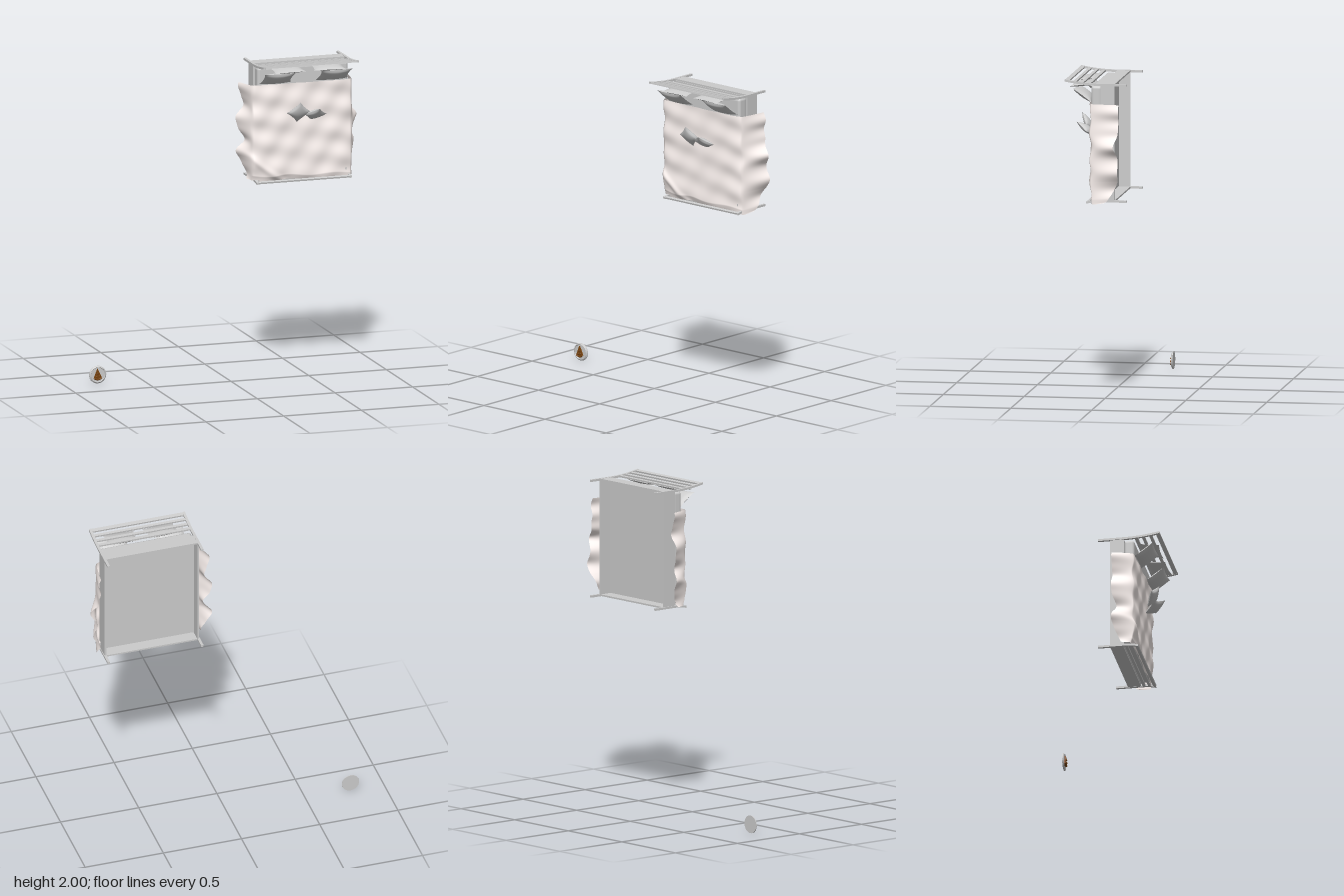
import * as THREE from 'three';
import { ParametricGeometry } from 'three/addons/geometries/ParametricGeometry.js';
import { RoundedBoxGeometry } from 'three/addons/geometries/RoundedBoxGeometry.js';

const grey = new THREE.MeshStandardMaterial({ color: 0xcccccc, side: THREE.DoubleSide });
const linen = new THREE.MeshStandardMaterial({ color: 0xfff6f3, side: THREE.DoubleSide });
const brown = new THREE.MeshStandardMaterial({ color: 0x7a4510 });

const MID = 0.447; // centre line of the bed

function add(parent, name, geo, mat = grey, x = 0, y = 0, z = 0) {
  const m = new THREE.Mesh(geo, mat);
  m.name = name;
  m.position.set(x, y, z);
  parent.add(m);
  return m;
}

// Box given by its minimum and maximum on each axis
function span(parent, name, x0, x1, y0, y1, z0, z1) {
  return add(parent, name, new THREE.BoxGeometry(x1 - x0, y1 - y0, z1 - z0), grey,
    (x0 + x1) / 2, (y0 + y1) / 2, (z0 + z1) / 2);
}

// Bed end: two curved posts, a solid lower panel and open slats
function bedEnd(name, y0, bend, zTop, slats) {
  const g = new THREE.Group();
  g.name = name;
  const yAt = z => y0 + bend * Math.pow(Math.max(0, z) / zTop, 1.8);
  const pts = [];
  for (let i = 0; i <= 14; i++) {
    const z = -0.175 + (zTop + 0.175) * i / 14;
    pts.push(new THREE.Vector2(z, yAt(z)));
  }
  const outline = [
    ...pts.map(p => new THREE.Vector2(p.x, p.y - 0.0065)),
    ...pts.slice().reverse().map(p => new THREE.Vector2(p.x, p.y + 0.0065)),
  ];
  const post = new THREE.ExtrudeGeometry(new THREE.Shape(outline), { depth: 0.016, bevelEnabled: false });
  post.rotateY(-Math.PI / 2);
  add(g, 'post', post, grey, 0.156);
  add(g, 'post', post, grey, 0.754);
  span(g, 'panel', 0.15, 0.745, y0 - 0.005, y0 + 0.005, -0.1, -0.02);
  for (const [z0, z1] of slats) {
    const y = yAt((z0 + z1) / 2);
    const s = span(g, 'slat', 0.15, 0.745, y - 0.005, y + 0.005, z0, z1);
    s.rotation.x = -Math.atan2(yAt(z1) - yAt(z0), z1 - z0);
  }
  return g;
}

// Puffed cushion with pinched corners
function cushion(parent, name, w, h, t, x, y, z, lean, spin = 0) {
  const geo = new THREE.BoxGeometry(2, 2, 2, 14, 14, 1);
  const p = geo.attributes.position;
  for (let i = 0; i < p.count; i++) {
    const u = p.getX(i), v = p.getY(i);
    const puff = Math.sqrt(Math.max(0, (1 - u * u) * (1 - v * v)));
    p.setXYZ(i, u * w / 2 * (1 - 0.1 * (1 - v * v)), v * h / 2 * (1 - 0.1 * (1 - u * u)),
      Math.sign(p.getZ(i)) * t / 2 * puff);
  }
  geo.rotateZ(spin);
  geo.computeVertexNormals();
  add(parent, name, geo, grey, x, y, z).rotation.x = lean;
}

const bump = (y, c, w) => Math.exp(-(((y - c) / w) ** 2));

// Draped sheet: flat on top, side flaps flaring out in waves
function blanketGeometry() {
  const edge = 0.66;
  return new ParametricGeometry((u, v, out) => {
    const s = u * 2 - 1, a = Math.abs(s), left = s < 0;
    let y = 1.252 + v * 0.6;
    const flare = left
      ? 0.012 + 0.055 * bump(y, 1.61, 0.07) + 0.052 * bump(y, 1.41, 0.055) + 0.04 * bump(y, 1.82, 0.05)
      : 0.022 + 0.055 * bump(y, 1.59, 0.07) + 0.055 * bump(y, 1.44, 0.045) + 0.01 * bump(y, 1.8, 0.06);
    const foot = Math.min(1, (y - 1.25) / 0.14);
    const drop = (left ? 0.125 : 0.175) * (0.35 + 0.65 * Math.sqrt(foot))
      - 0.025 * bump(y, left ? 1.5 : 1.6, 0.05);
    const k = Math.max(0, (a - edge) / (1 - edge));
    const q = Math.min(1, a / edge);
    let x = 0.44 + Math.sign(s) * 0.32 * q + Math.sign(s) * flare * Math.pow(k, 0.8);
    // Soft wrinkles, strongest along the sides and the lower corner
    const wrinkle = 0.005 * Math.sin(y * 42 + x * 9) * (0.35 + 0.65 * q)
      + 0.003 * Math.sin(x * 34 - y * 25);
    const fold = 0.008 * bump(y - 1.25 + (x - 0.12) * 0.75, 0.14, 0.025) * (x < 0.35 ? 1 : 0.3);
    let z = 0.058 - 0.012 * Math.pow(q, 10) + (wrinkle + fold) * (1 - k) - drop * k;
    z -= 0.012 * Math.max(0, 1 - v / 0.05);
    x += 0.006 * Math.sin(y * 60) * k;
    y += 0.006 * Math.sin(x * 22) * (1 - v) - 0.012 * (1 - v) * (s + 0.5) * (1 - k);
    out.set(x, y, z);
  }, 72, 72);
}

function createModel() {
  const model = new THREE.Group();
  const bed = new THREE.Group();
  bed.name = 'bed';
  model.add(bed);

  // Frame
  bed.add(bedEnd('headboard', 1.971, 0.022, 0.207, [[0.05, 0.07], [0.095, 0.113], [0.14, 0.158], [0.182, 0.207]]));
  bed.add(bedEnd('footboard', 1.254, -0.011, 0.075, [[-0.01, 0.008], [0.025, 0.04], [0.056, 0.075]]));
  span(bed, 'sideRail', 0.145, 0.157, 1.256, 1.97, -0.1, -0.015);
  span(bed, 'sideRail', 0.738, 0.75, 1.256, 1.97, -0.1, -0.015);
  span(bed, 'bedBase', 0.155, 0.74, 1.262, 1.965, -0.03, -0.018);
  add(bed, 'mattress', new RoundedBoxGeometry(0.585, 0.695, 0.065, 4, 0.018), grey, MID, 1.614, 0.015);

  // Bedding
  add(bed, 'blanket', blanketGeometry(), linen);
  for (const side of [-1, 1]) {
    cushion(bed, 'lowerPillow', 0.2, 0.14, 0.045, MID + side * 0.182, 1.9, 0.105, 0.95);
    cushion(bed, 'upperPillow', 0.2, 0.135, 0.03, MID + 0.003 + side * 0.13, 1.956, 0.117, 1.7, side * 0.05);
  }
  cushion(bed, 'smallCushion', 0.11, 0.11, 0.04, 0.395, 1.682, 0.122, 0.5, Math.PI / 4);
  cushion(bed, 'smallCushion', 0.11, 0.11, 0.04, 0.503, 1.662, 0.112, 0.95, 0.65);

  // Plate with a slice of food
  const dish = new THREE.Group();
  dish.name = 'plateWithSlice';
  dish.position.set(-0.788, 0.056, -0.213);
  model.add(dish);
  const profile = [[0, 0], [0.055, 0], [0.055, 0.005], [0.047, 0.011], [0.044, 0.007], [0, 0.007]]
    .map(([r, h]) => new THREE.Vector2(r, h));
  const plate = new THREE.LatheGeometry(profile, 32).toNonIndexed();
  plate.rotateX(Math.PI / 2);
  plate.computeVertexNormals();
  add(dish, 'plate', plate);
  const wedge = new THREE.Shape([[-0.004, 0.038], [-0.027, -0.02], [-0.012, -0.027], [0.008, -0.027], [0.024, -0.018]]
    .map(([x, y]) => new THREE.Vector2(x, y)));
  add(dish, 'slice', new THREE.ExtrudeGeometry(wedge, { depth: 0.009, bevelEnabled: false }), brown, 0, 0, 0.007);
  const crust = new THREE.CatmullRomCurve3([[-0.026, -0.02], [-0.012, -0.027], [0.008, -0.027], [0.023, -0.018]]
    .map(([x, y]) => new THREE.Vector3(x, y, 0.015)));
  add(dish, 'crust', new THREE.TubeGeometry(crust, 12, 0.005, 8), brown);
  for (const [x, y] of [[-0.003, 0.01], [-0.01, -0.01], [0.008, -0.008]])
    add(dish, 'topping', new THREE.SphereGeometry(0.006, 10, 8), brown, x, y, 0.017);

  return model;
}

export { createModel };
